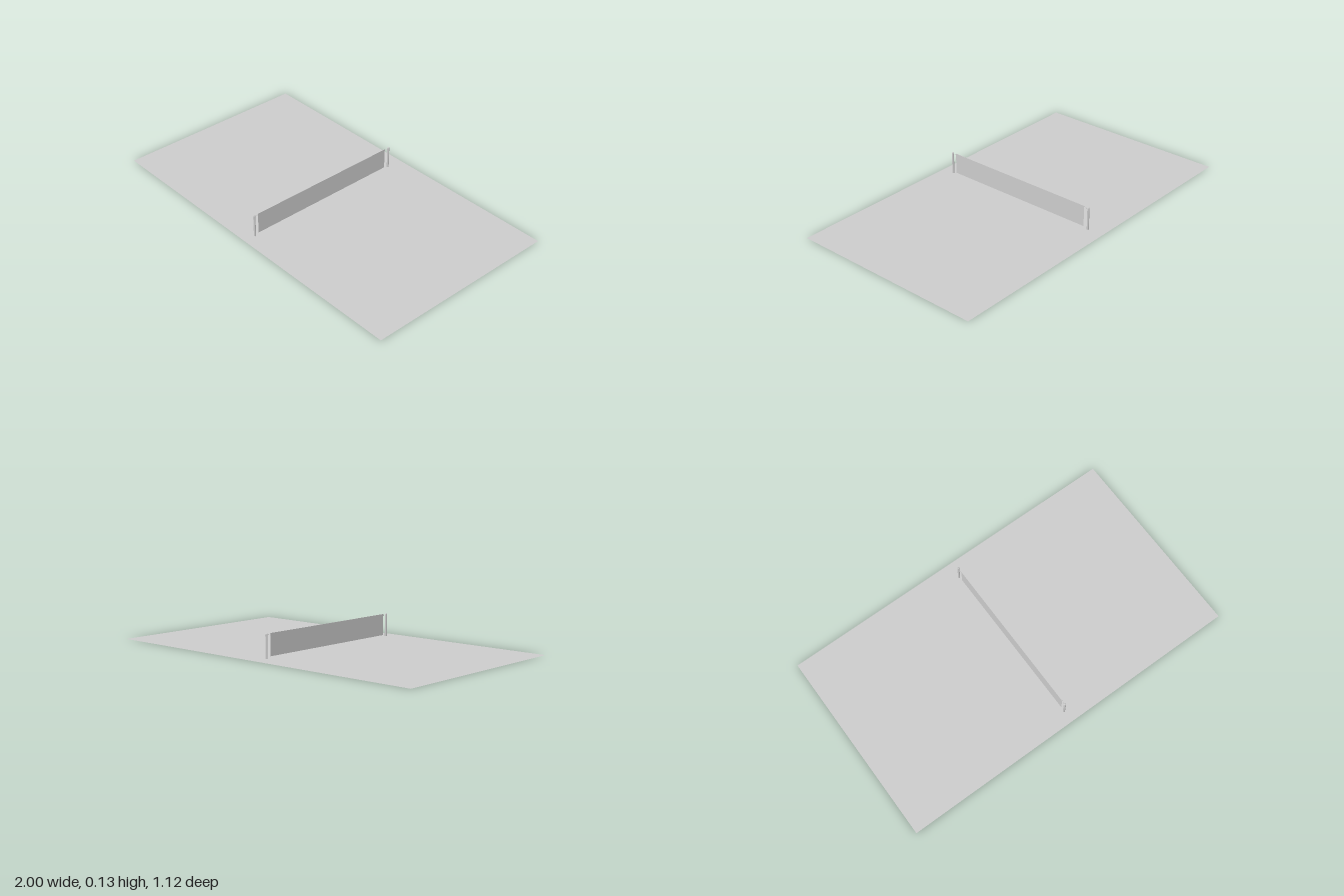
import * as THREE from 'three';

const surface = new THREE.MeshStandardMaterial({ color: 0xcccccc, side: THREE.DoubleSide });

function add(parent, name, geometry, x, y, z) {
  const mesh = new THREE.Mesh(geometry, surface);
  mesh.name = name;
  mesh.position.set(x, y, z);
  parent.add(mesh);
  return mesh;
}

// Flat rectangle lying on the court, from (x0, z0) to (x1, z1)
function flat(parent, name, x0, x1, z0, z1, y) {
  const geometry = new THREE.PlaneGeometry(x1 - x0, z1 - z0).rotateX(-Math.PI / 2);
  return add(parent, name, geometry, (x0 + x1) / 2, y, (z0 + z1) / 2);
}

export function createModel() {
  const model = new THREE.Group();
  model.name = 'tennisCourt';

  const halfZ = 0.559, lineY = 0.0015, w = 0.011;
  const alleyBack = -0.444, alleyFront = 0.412, centreZ = -0.003;

  // Playing surface
  flat(model, 'courtSurface', -1, 1, -halfZ, halfZ, 0);

  // Painted lines
  const lines = new THREE.Group();
  lines.name = 'courtLines';
  model.add(lines);
  const alongX = (name, z, half) => flat(lines, name, -half, half, z - w / 2, z + w / 2, lineY);
  const alongZ = (name, x, z0, z1) => flat(lines, name, x - w / 2, x + w / 2, z0, z1, lineY);

  alongX('backSideline', -halfZ + w / 2, 1 - w);
  alongX('frontSideline', halfZ - w / 2, 1 - w);
  alongX('backInnerSideline', alleyBack, 1 - w);
  alongX('frontInnerSideline', alleyFront, 1 - w);
  alongX('centreServiceLine', centreZ, 0.5 - w / 2);
  for (const [side, s] of [['left', 1], ['right', -1]]) {
    alongZ(side + 'Baseline', s * (1 - w / 2), -halfZ, halfZ);
    alongZ(side + 'ServiceLine', s * 0.5, alleyBack + w / 2, alleyFront - w / 2);
    const x = s * 0.976;
    flat(lines, side + 'CentreMark', x - 0.013, x + 0.013, centreZ - w / 2, centreZ + w / 2, lineY);
  }

  // Net with a top band, hung between two posts
  const net = new THREE.Group();
  net.name = 'net';
  net.position.x = -0.003;
  model.add(net);
  const netZ = 0.014, netLength = 0.902, bottom = 0.008, top = 0.128, band = 0.012;
  const mesh = new THREE.PlaneGeometry(netLength, top - bottom - band).rotateY(Math.PI / 2);
  add(net, 'netMesh', mesh, 0, (bottom + top - band) / 2, netZ);
  add(net, 'netBand', new THREE.BoxGeometry(0.002, band, netLength), 0, top - band / 2, netZ);

  // Round-topped posts
  const r = 0.0058, postTop = 0.13;
  const profile = [new THREE.Vector2(0, 0), new THREE.Vector2(r, 0)];
  for (let i = 0; i <= 4; i++) {
    const a = (i / 4) * Math.PI / 2;
    profile.push(new THREE.Vector2(r * Math.cos(a), postTop - r + r * Math.sin(a)));
  }
  const postFront = 0.489, postBack = -0.465;
  for (const [name, z] of [['frontPost', postFront], ['backPost', postBack]]) {
    add(net, name, new THREE.LatheGeometry(profile, 16), 0, 0, z);
  }

  // Cord carrying the net from post to post
  const cord = new THREE.CylinderGeometry(0.0008, 0.0008, postFront - postBack, 6).rotateX(Math.PI / 2);
  add(net, 'netCord', cord, 0, 0.121, (postFront + postBack) / 2);

  return model;
}
